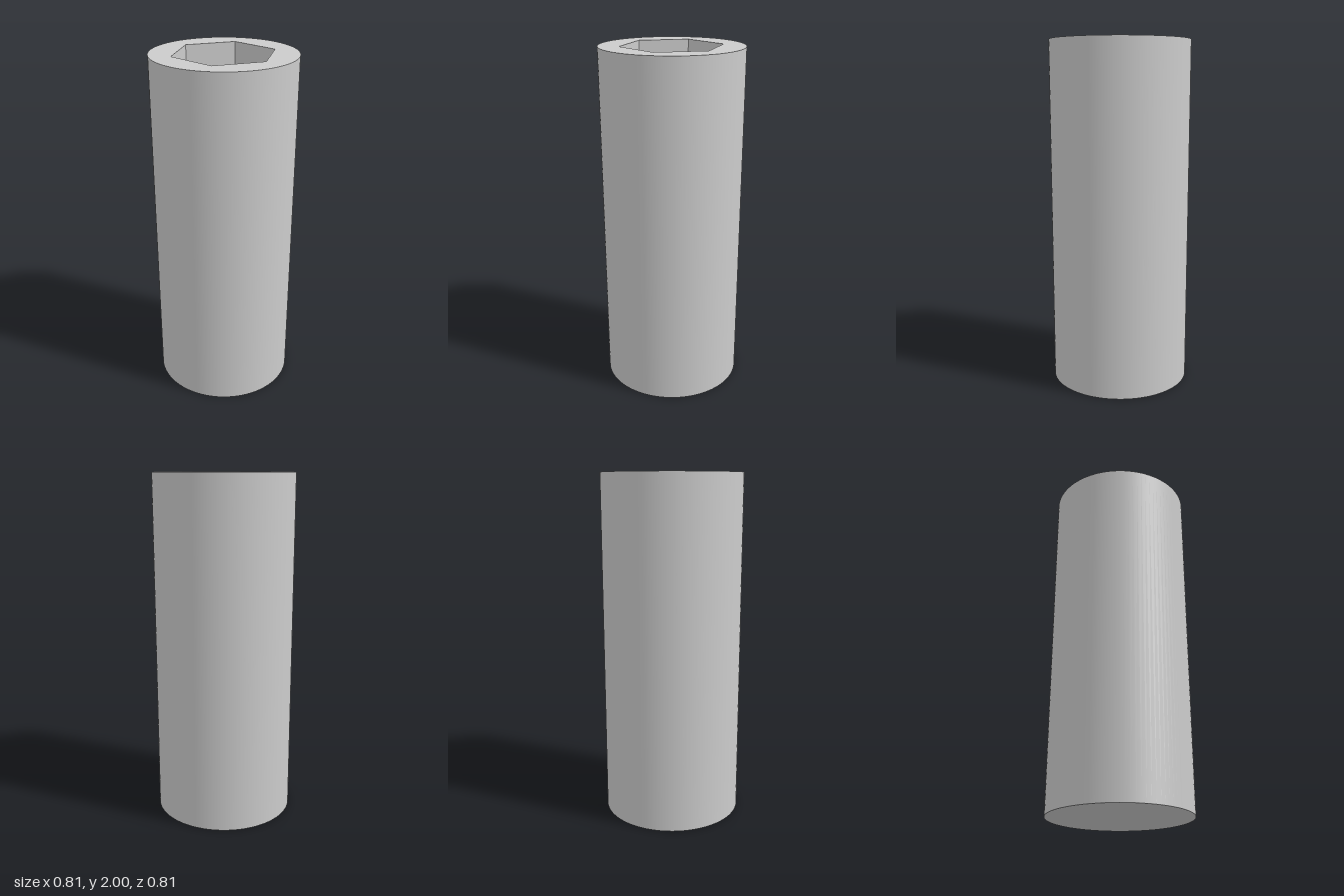
import * as THREE from 'three';

const HEIGHT = 2, RADIUS = 0.404, HEX_RADIUS = 0.289, SOCKET_DEPTH = 0.5, SIDES = 96;

export function createModel() {
  const group = new THREE.Group();
  const add = (name, geometry, flatShading = false) => {
    const mesh = new THREE.Mesh(geometry, new THREE.MeshStandardMaterial({ color: 0xcccccc, flatShading }));
    mesh.name = name;
    group.add(mesh);
  };

  // Smooth outer wall
  add('outerWall', new THREE.CylinderGeometry(RADIUS, RADIUS, HEIGHT, SIDES, 1, true).translate(0, HEIGHT / 2, 0));

  // Flat closed base, facing down
  add('base', new THREE.CircleGeometry(RADIUS, SIDES).rotateX(Math.PI / 2));

  // Top rim with a hexagonal opening, corners on the x axis
  const rim = new THREE.Shape().absarc(0, 0, RADIUS, 0, Math.PI * 2);
  const corners = Array.from({ length: 6 }, (_, i) => {
    const a = -i * Math.PI / 3;
    return new THREE.Vector2(Math.cos(a) * HEX_RADIUS, Math.sin(a) * HEX_RADIUS);
  });
  rim.holes.push(new THREE.Path(corners));
  add('topRim', new THREE.ShapeGeometry(rim, SIDES).rotateX(-Math.PI / 2).translate(0, HEIGHT, 0));

  // Blind hexagonal socket: profile runs down the wall and in across the floor
  const floorY = HEIGHT - SOCKET_DEPTH;
  const profile = [[HEX_RADIUS, HEIGHT], [HEX_RADIUS, floorY], [0, floorY]].map(p => new THREE.Vector2(...p));
  add('hexSocket', new THREE.LatheGeometry(profile, 6, Math.PI / 2), true);

  return group;
}
